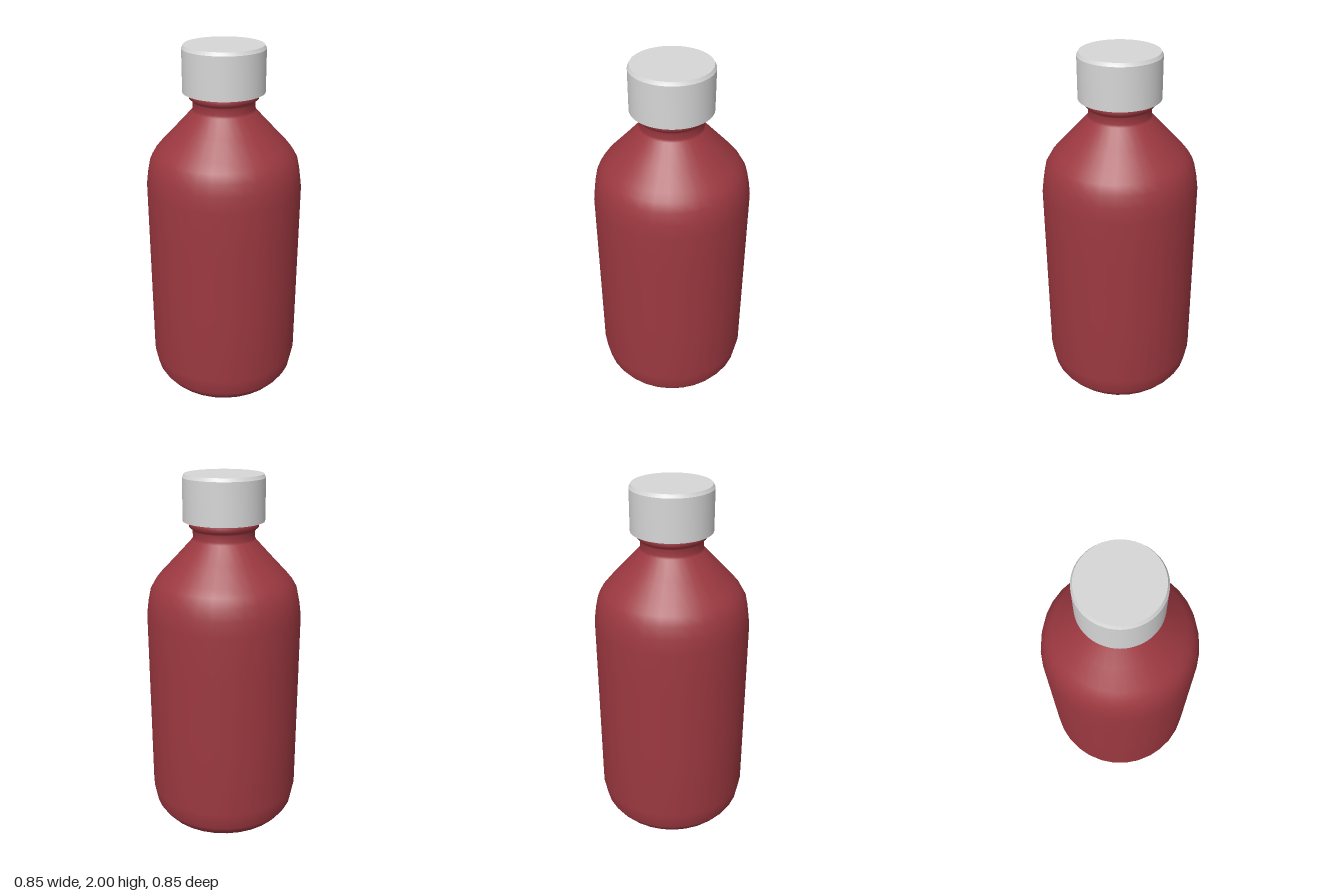
import * as THREE from 'three';
import { toCreasedNormals } from 'three/addons/utils/BufferGeometryUtils.js';

const lathe = (profile, segments) =>
  new THREE.LatheGeometry(profile.map(([r, y]) => new THREE.Vector2(r, y)), segments);

export function createModel() {
  const redGlass = new THREE.MeshStandardMaterial({ color: 0x9c3840 });
  redGlass.name = 'redGlass';
  const greyPlastic = new THREE.MeshStandardMaterial({ color: 0xd6d6d6 });
  greyPlastic.name = 'greyPlastic';

  const group = new THREE.Group();
  group.name = 'bottle';
  const add = (name, geometry, material) => {
    const mesh = new THREE.Mesh(geometry, material);
    mesh.name = name;
    group.add(mesh);
  };

  // Body: hollowed base, rounded heel, straight wall, sloping shoulder, neck with bead
  add('bottleBody', lathe([
    [0, 0.13], [0.08, 0.085], [0.17, 0.035], [0.24, 0.008], [0.28, 0],
    [0.31, 0.003], [0.335, 0.012], [0.365, 0.03], [0.39, 0.06], [0.408, 0.09], [0.427, 0.19],
    [0.427, 0.6], [0.427, 1.0], [0.427, 1.245],
    [0.416, 1.325], [0.402, 1.39], [0.376, 1.435], [0.345, 1.472], [0.26, 1.562], [0.172, 1.657],
    [0.167, 1.67], [0.167, 1.705], [0.173, 1.715], [0.186, 1.726], [0.187, 1.745], [0.18, 1.757],
    [0.16, 1.765], [0.16, 1.94], [0, 1.94],
  ], 32), redGlass);

  // Cap: hollow cup with a thin wall and a small stepped bevel around the top
  add('cap', toCreasedNormals(lathe([
    [0, 1.96], [0.204, 1.96], [0.204, 1.757], [0.219, 1.757],
    [0.219, 1.982], [0.214, 1.99], [0.209, 2.0], [0, 2.0],
  ], 64), 0.5), greyPlastic);

  return group;
}
